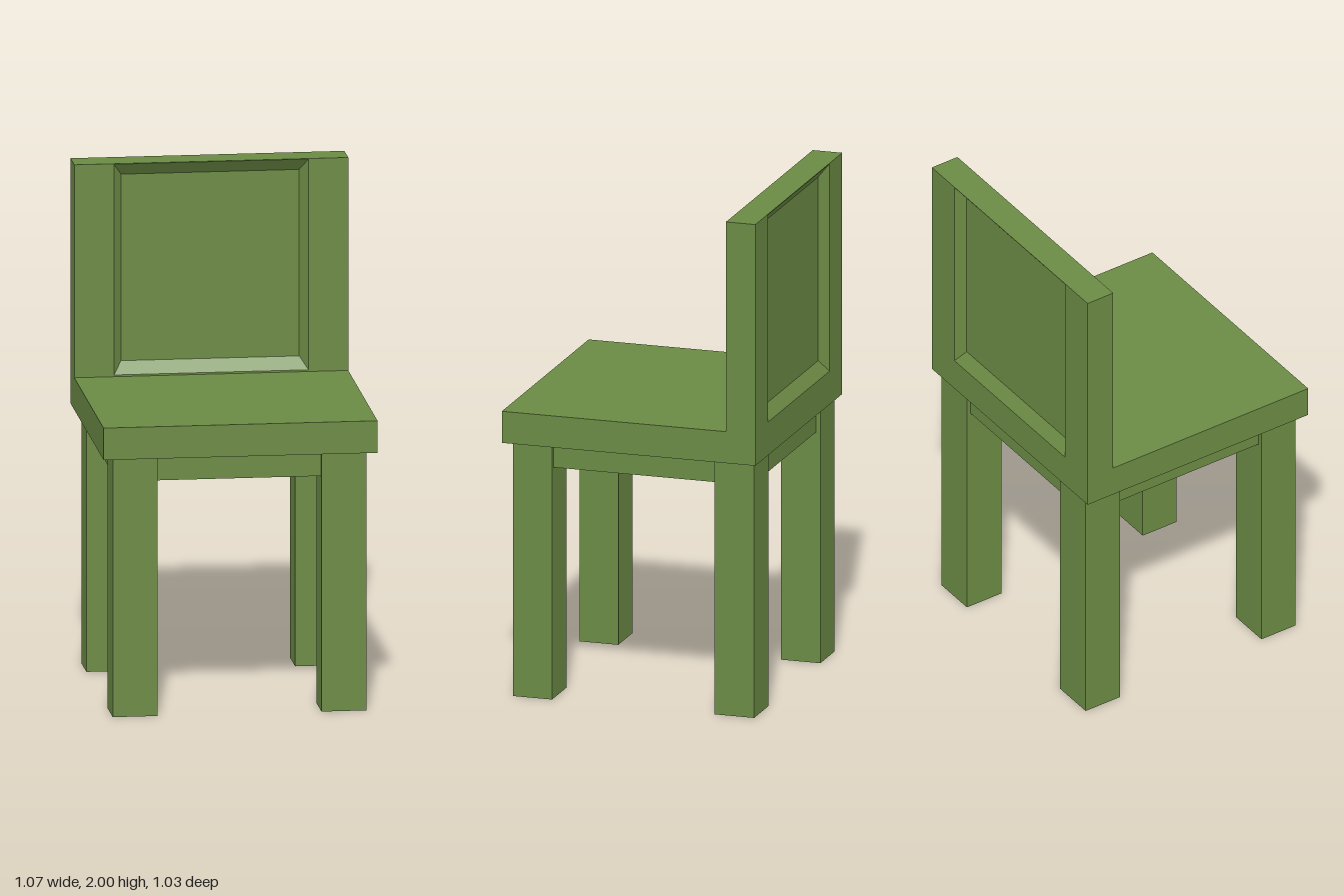
import * as THREE from 'three';

const green = new THREE.MeshStandardMaterial({ color: 0x6b8a44 });
green.name = 'olive green';

// Box given by its minimum and maximum corners
function box(name, [x0, y0, z0], [x1, y1, z1]) {
  const geometry = new THREE.BoxGeometry(x1 - x0, y1 - y0, z1 - z0);
  geometry.translate((x0 + x1) / 2, (y0 + y1) / 2, (z0 + z1) / 2);
  const mesh = new THREE.Mesh(geometry, green);
  mesh.name = name;
  return mesh;
}

// Backrest: nested rectangles joined from the front panel, around the rim, to the rear panel
function backrest() {
  const recess = 0.036, front = -0.395, back = -0.515;
  const rings = [ // half width, bottom, top, z
    [0.348, 1.21, 1.95, front - recess],
    [0.38, 1.162, 1.998, front],
    [0.535, 1.155, 2, front],
    [0.535, 1.155, 2, back],
    [0.38, 1.162, 1.998, back],
    [0.348, 1.21, 1.95, back + recess],
  ].map(([w, b, t, z]) => [[-w, b, z], [w, b, z], [w, t, z], [-w, t, z]]);

  const positions = [];
  const quad = (a, b, c, d) => positions.push(...a, ...b, ...c, ...a, ...c, ...d);
  quad(...rings[0]);
  for (let r = 0; r < rings.length - 1; r++) {
    for (let i = 0; i < 4; i++) {
      const j = (i + 1) % 4;
      quad(rings[r][i], rings[r + 1][i], rings[r + 1][j], rings[r][j]);
    }
  }
  quad(...rings[rings.length - 1].slice().reverse());

  const geometry = new THREE.BufferGeometry();
  geometry.setAttribute('position', new THREE.Float32BufferAttribute(positions, 3));
  geometry.computeVertexNormals();
  const mesh = new THREE.Mesh(geometry, green);
  mesh.name = 'backrest';
  return mesh;
}

export function createModel() {
  const chair = new THREE.Group();
  chair.name = 'chair';

  // Seat slab and the solid apron under it
  chair.add(box('seat', [-0.535, 1.028, -0.515], [0.535, 1.155, 0.52]));
  chair.add(box('apron', [-0.475, 0.93, -0.48], [0.475, 1.028, 0.465]));
  chair.add(backrest());

  // Four square legs
  for (const [side, x0, x1] of [['Left', 0.32, 0.495], ['Right', -0.495, -0.32]]) {
    chair.add(box('front' + side + 'Leg', [x0, 0, 0.328], [x1, 1.028, 0.487]));
    chair.add(box('back' + side + 'Leg', [x0, 0, -0.497], [x1, 1.028, -0.336]));
  }
  return chair;
}
